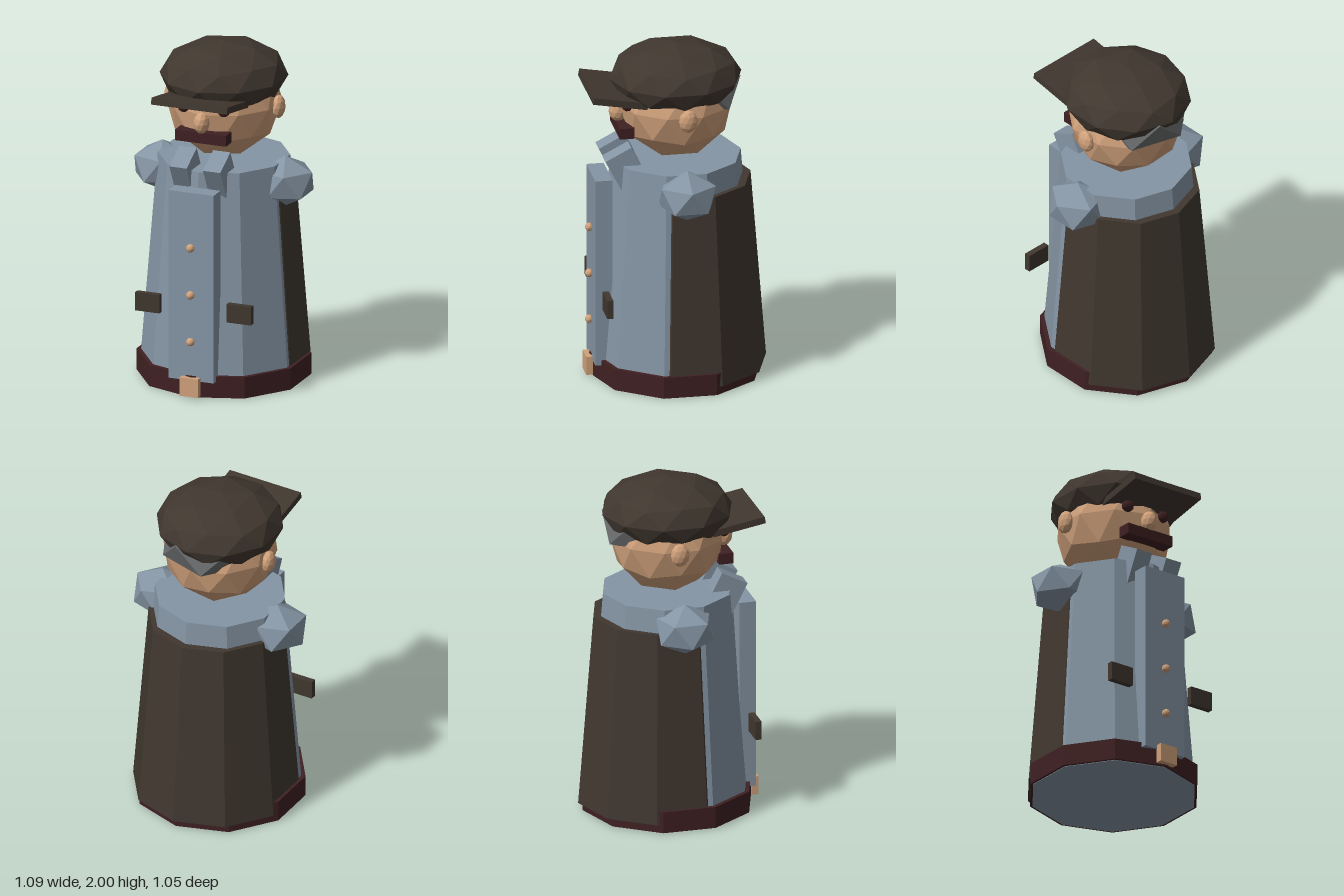
import * as THREE from 'three';

export function createModel() {
  const group = new THREE.Group();
  group.name = 'cappedFigure';

  const flat = (name, color) => {
    const m = new THREE.MeshStandardMaterial({ color, flatShading: true });
    m.name = name;
    return m;
  };
  const coat = flat('blueGreyCloth', 0x8595a4);
  const brown = flat('darkBrownCloth', 0x40372f);
  const maroon = flat('darkMaroon', 0x3f2022);
  const skin = flat('skinTan', 0xd0a17b);
  const hairGrey = flat('hairGrey', 0x686a6b);

  const add = (name, geometry, material, x, y, z, rx = 0) => {
    const mesh = new THREE.Mesh(geometry, material);
    mesh.name = name;
    mesh.position.set(x, y, z);
    mesh.rotation.x = rx;
    group.add(mesh);
    return mesh;
  };
  const box = (name, material, size, pos, rx) =>
    add(name, new THREE.BoxGeometry(...size), material, ...pos, rx);
  // Ten-sided tapered drum between two heights
  const drum = (name, material, rTop, rBottom, y0, y1, z = 0) =>
    add(name, new THREE.CylinderGeometry(rTop, rBottom, y1 - y0, 10), material, 0, (y0 + y1) / 2, z);
  // Faceted ellipsoid with one corner pointing straight up
  const tilt = Math.PI / 2 - Math.atan((1 + Math.sqrt(5)) / 2);
  const ball = (name, material, radii, pos, detail) => {
    const g = new THREE.IcosahedronGeometry(1, detail);
    g.rotateZ(-tilt);
    g.scale(...radii);
    return add(name, g, material, ...pos);
  };

  // Coat, cape and hem
  drum('coatBody', coat, 0.38, 0.485, 0, 1.32);
  drum('cape', brown, 0.397, 0.487, 0.05, 1.18, -0.04);
  drum('hemBand', maroon, 0.5, 0.5, 0.003, 0.13);

  // Front panel with buttons and buckle
  box('frontPanel', coat, [0.28, 1.13, 0.1], [0, 0.665, 0.44]);
  for (const y of [0.335, 0.617, 0.9]) {
    ball('button', skin, [0.025, 0.025, 0.025], [0, y, 0.5], 1);
  }
  box('buckle', skin, [0.115, 0.11, 0.04], [0, 0.068, 0.507]);

  // Mirrored pairs
  for (const s of [-1, 1]) {
    box('pocket', brown, [0.15, 0.11, 0.035], [s * 0.283, 0.523, 0.443]);
    box('collarFlap', coat, [0.107, 0.2, 0.17], [s * 0.104, 1.303, 0.313], 0.48);
    ball('shoulder', coat, [0.185, 0.15, 0.185], [s * 0.38, 1.203, 0], 0);
    ball('ear', skin, [0.037, 0.07, 0.055], [s * 0.332, 1.638, -0.015], 1);
    ball('eye', maroon, [0.036, 0.036, 0.036], [s * 0.124, 1.68, 0.3], 1);
  }

  // Head and face
  ball('head', skin, [0.335, 0.335, 0.335], [0, 1.65, 0], 1);
  ball('nose', skin, [0.045, 0.065, 0.055], [0, 1.603, 0.333], 1);
  box('moustache', maroon, [0.315, 0.064, 0.085], [0, 1.517, 0.308]);
  ball('hair', hairGrey, [0.3, 0.168, 0.275], [0, 1.725, -0.13], 0);

  // Cap
  ball('capCrown', brown, [0.367, 0.2, 0.384], [0, 1.8, 0], 1);
  box('capBrim', brown, [0.47, 0.04, 0.34], [0, 1.732, 0.35], -0.175);

  return group;
}
